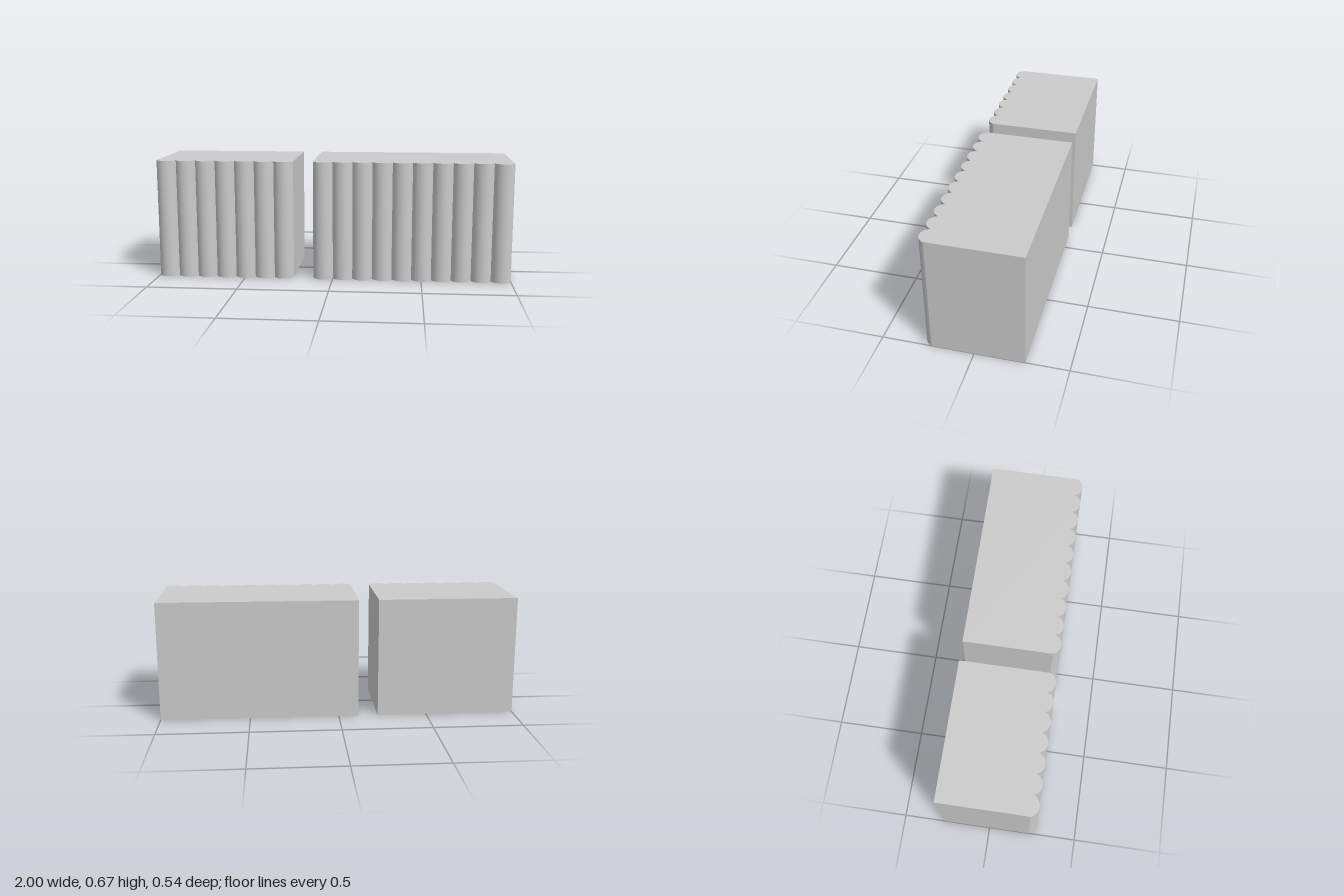
import * as THREE from 'three';
import { toCreasedNormals } from 'three/addons/utils/BufferGeometryUtils.js';

const PITCH = 2 / 18;      // width of one rounded rib
const HEIGHT = 6 * PITCH;
const BACK = -0.27;
const VALLEY = 0.23;       // z of the grooves between ribs
const BULGE = 0.04;        // how far a rib stands out from the grooves
const STEPS = 14;          // segments per rib

const material = new THREE.MeshStandardMaterial({ color: 0xcccccc });

// Solid block with a flat back and a row of rounded ribs along its front
function ribbedBlock(name, startX, ribs) {
  const radius = ((PITCH / 2) ** 2 + BULGE ** 2) / (2 * BULGE);
  const halfAngle = Math.asin(PITCH / 2 / radius);
  const centreZ = VALLEY + BULGE - radius;

  // Plan outline; shape y is -z, so the ribs run along the lower edge
  const outline = [
    new THREE.Vector2(startX, -BACK),
    new THREE.Vector2(startX, -VALLEY),
  ];
  for (let i = 0; i < ribs; i++) {
    const centreX = startX + (i + 0.5) * PITCH;
    for (let j = 1; j <= STEPS; j++) {
      const a = halfAngle * (2 * j / STEPS - 1);
      outline.push(new THREE.Vector2(
        centreX + radius * Math.sin(a),
        -(centreZ + radius * Math.cos(a)),
      ));
    }
  }
  outline.push(new THREE.Vector2(startX + ribs * PITCH, -BACK));

  const geometry = new THREE.ExtrudeGeometry(new THREE.Shape(outline), {
    depth: HEIGHT,
    bevelEnabled: false,
  });
  geometry.rotateX(-Math.PI / 2);

  // Ribs shade smoothly, block edges and grooves stay sharp
  const mesh = new THREE.Mesh(toCreasedNormals(geometry, 0.28), material);
  mesh.name = name;
  return mesh;
}

export function createModel() {
  const model = new THREE.Group();
  model.name = 'ribbedCounter';
  // Two blocks separated by a gap one rib wide
  model.add(ribbedBlock('shortRibbedBlock', -1, 7));
  model.add(ribbedBlock('longRibbedBlock', -1 + 8 * PITCH, 10));
  return model;
}
